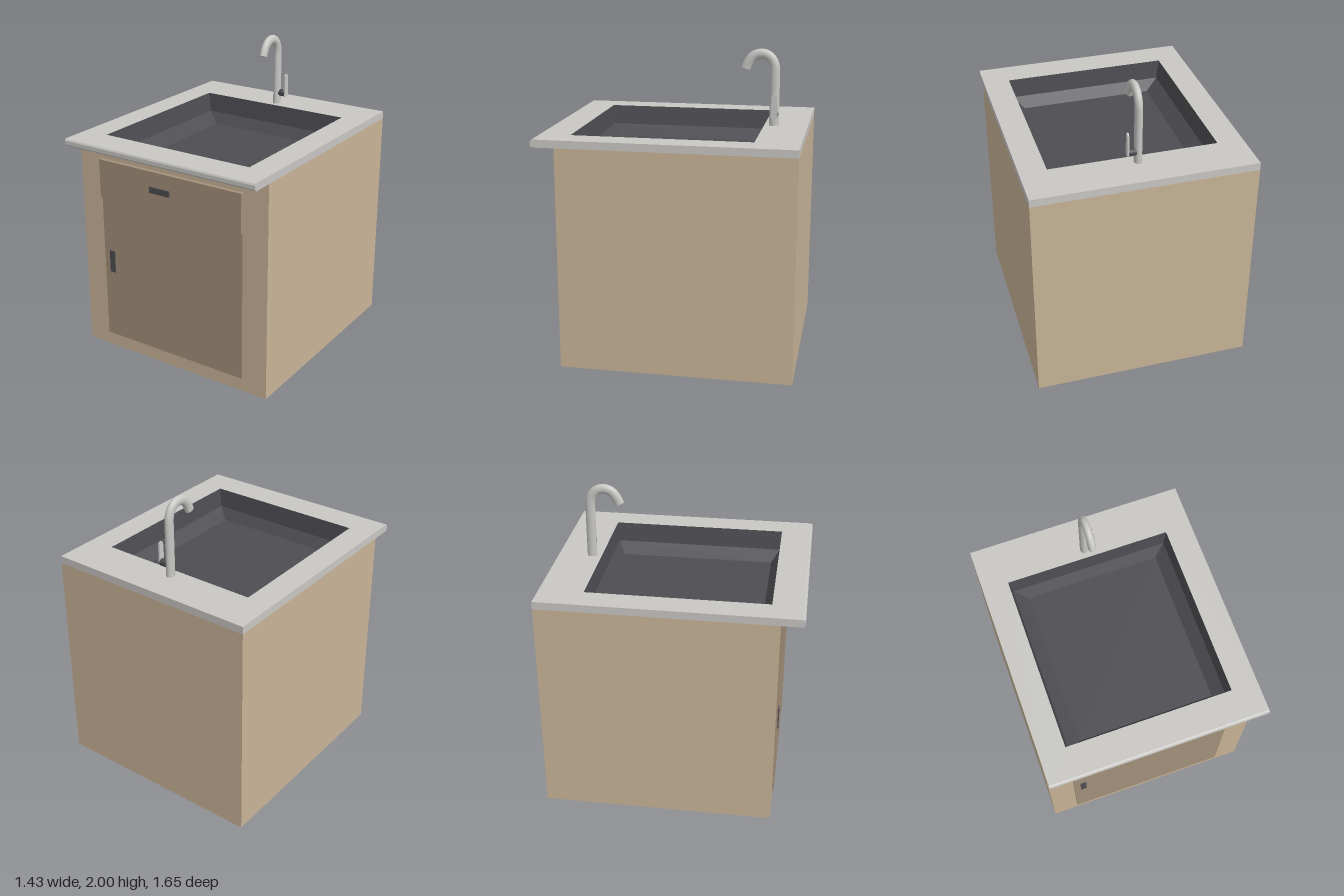
import * as THREE from 'three';

const mat = (name, color, side = THREE.FrontSide) => {
  const m = new THREE.MeshStandardMaterial({ color, side });
  m.name = name;
  return m;
};

// Rectangular frame lying flat: outer and inner are [x0, x1, z0, z1]
function frame(outer, inner, height) {
  const corners = ([x0, x1, z0, z1]) =>
    [[x0, -z1], [x1, -z1], [x1, -z0], [x0, -z0]].map(([x, y]) => new THREE.Vector2(x, y));
  const shape = new THREE.Shape(corners(outer));
  shape.holes.push(new THREE.Path(corners(inner).reverse()));
  return new THREE.ExtrudeGeometry(shape, { depth: height, bevelEnabled: false }).rotateX(-Math.PI / 2);
}

// Basin skin from rectangular rings [x0, x1, z0, z1, y], closed by a floor
function basinGeometry(rings) {
  const pos = [], index = [];
  rings.forEach(([x0, x1, z0, z1, y]) => pos.push(x0, y, z1, x1, y, z1, x1, y, z0, x0, y, z0));
  for (let r = 0; r < rings.length - 1; r++) {
    for (let i = 0; i < 4; i++) {
      const a = r * 4 + i, b = r * 4 + (i + 1) % 4;
      index.push(a, b, a + 4, b, b + 4, a + 4);
    }
  }
  const f = (rings.length - 1) * 4;
  index.push(f, f + 1, f + 2, f, f + 2, f + 3);
  const g = new THREE.BufferGeometry();
  g.setAttribute('position', new THREE.Float32BufferAttribute(pos, 3));
  g.setIndex(index);
  const flat = g.toNonIndexed();
  flat.computeVertexNormals();
  return flat;
}

export function createModel() {
  const model = new THREE.Group();
  model.name = 'sinkCabinet';
  const wood = mat('lightWood', 0xc9b497);
  const door = mat('doorWood', 0xa4917b);
  const stone = mat('paleGrey', 0xc8c7c4);
  const dark = mat('darkGrey', 0x4e4d52);
  const darkSkin = mat('darkGrey', 0x4e4d52, THREE.DoubleSide);

  const add = (name, geometry, material, parent = model) => {
    const mesh = new THREE.Mesh(geometry, material);
    mesh.name = name;
    parent.add(mesh);
    return mesh;
  };
  // Box given by its extents
  const box = (name, [x0, x1], [y0, y1], [z0, z1], material) =>
    add(name, new THREE.BoxGeometry(x1 - x0, y1 - y0, z1 - z0), material)
      .position.set((x0 + x1) / 2, (y0 + y1) / 2, (z0 + z1) / 2);

  // Cabinet: open-topped carcass and bottom board
  add('cabinetWalls', frame([-0.715, 0.712, -0.825, 0.675], [-0.66, 0.66, -0.77, 0.65], 1.45), wood);
  box('cabinetBottom', [-0.67, 0.67], [0, 0.04], [-0.78, 0.66], wood);

  // Door, drawer and their handles
  box('door', [-0.545, 0.54], [0.095, 1.1], [0.67, 0.686], door);
  box('drawerFront', [-0.545, 0.54], [1.1, 1.36], [0.67, 0.702], door);
  box('doorHandle', [-0.5, -0.46], [0.57, 0.725], [0.68, 0.693], dark);
  box('drawerHandle', [-0.14, 0.014], [1.22, 1.26], [0.695, 0.711], dark);

  // Countertop with basin opening, and a softened front nosing
  const opening = [-0.545, 0.54, -0.54, 0.617];
  const counter = add('countertop', frame([-0.715, 0.712, -0.825, 0.812], opening, 0.05), stone);
  counter.position.y = 1.45;
  const profile = [[0.812, 1.45], [0.812, 1.5], [0.819, 1.497], [0.825, 1.487], [0.825, 1.463], [0.819, 1.453]];
  const nosing = new THREE.ExtrudeGeometry(
    new THREE.Shape(profile.map(([z, y]) => new THREE.Vector2(-z, y))),
    { depth: 1.427, bevelEnabled: false }
  ).rotateY(-Math.PI / 2).scale(1, 1, 1);
  // The turned profile runs towards -x with its depth mapped to -z
  nosing.rotateY(0).computeBoundingBox();
  nosing.rotateY(Math.PI);
  nosing.computeBoundingBox();
  const b = nosing.boundingBox;
  nosing.translate(-0.715 - b.min.x, 0, 0.825 - b.max.z);
  add('counterNosing', nosing, stone);

  // Basin: steep upper wall, sloped lower wall, flat floor
  add('basin', basinGeometry([
    [...opening, 1.5],
    [-0.527, 0.523, -0.53, 0.607, 1.37],
    [-0.44, 0.45, -0.48, 0.555, 1.3],
  ]), darkSkin);

  // Faucet: slightly flattened gooseneck tube
  const faucet = new THREE.Group();
  faucet.name = 'faucet';
  faucet.position.x = -0.008;
  faucet.scale.x = 0.77;
  model.add(faucet);
  const path = new THREE.CurvePath();
  const v = (y, z) => new THREE.Vector3(0, y, z);
  path.add(new THREE.LineCurve3(v(1.49, -0.604), v(1.86, -0.604)));
  path.add(new THREE.CubicBezierCurve3(v(1.86, -0.604), v(1.925, -0.604), v(1.968, -0.565), v(1.968, -0.515)));
  path.add(new THREE.CubicBezierCurve3(v(1.968, -0.515), v(1.968, -0.465), v(1.935, -0.435), v(1.872, -0.412)));
  add('spout', new THREE.TubeGeometry(path, 64, 0.032, 20, false), stone, faucet);
  const end = add('spoutEnd', new THREE.CircleGeometry(0.032, 20), stone, faucet);
  end.position.copy(v(1.872, -0.412));
  end.lookAt(v(1.872 - 0.063, -0.412 + 0.023));

  // Side valve and upright lever
  const valve = add('valve', new THREE.CylinderGeometry(0.024, 0.024, 0.05, 18).rotateZ(Math.PI / 2), dark);
  valve.position.set(0.033, 1.577, -0.609);
  const leverShape = new THREE.Shape();
  leverShape.moveTo(-0.023, 0.012);
  leverShape.quadraticCurveTo(0, -0.012, 0.023, 0.012);
  leverShape.lineTo(0.017, 0.15);
  leverShape.quadraticCurveTo(0, 0.175, -0.017, 0.15);
  const lever = add('lever', new THREE.ExtrudeGeometry(leverShape, { depth: 0.01, bevelEnabled: false })
    .rotateY(Math.PI / 2), stone);
  lever.position.set(0.055, 1.552, -0.609);

  return model;
}
